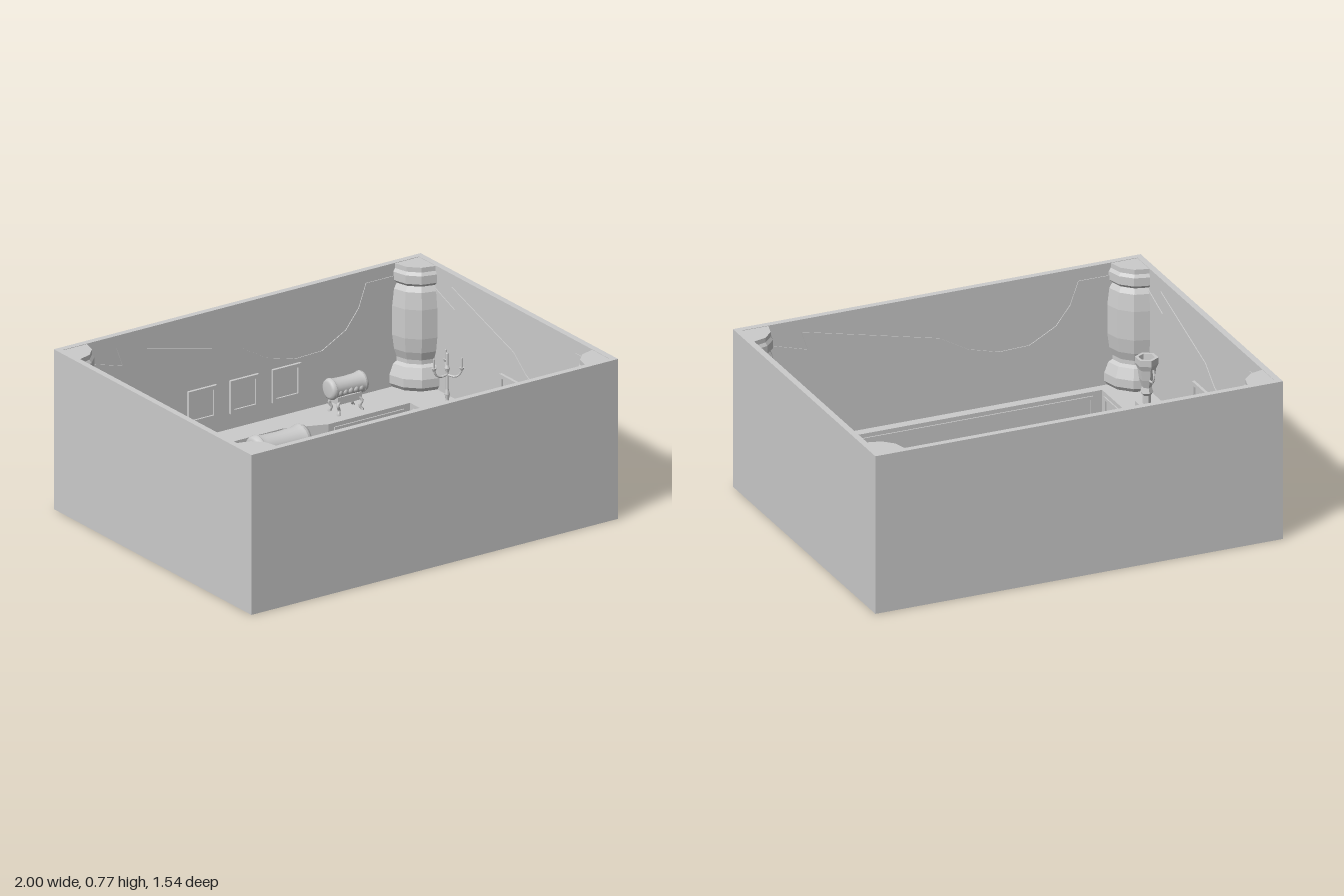
import * as THREE from 'three';

const grey = new THREE.MeshStandardMaterial({ color: 0xcccccc });
const flat = new THREE.MeshStandardMaterial({ color: 0xcccccc, flatShading: true });

const HX = 0.97, HZ = 0.74, TOP = 0.77; // inner half sizes and wall height
const DECK = 0.18, PIT = 0.01;          // raised floor and sunken floor levels

function add(parent, name, geo, x = 0, y = 0, z = 0, mat = flat) {
  const m = new THREE.Mesh(geo, mat);
  m.name = name;
  m.position.set(x, y, z);
  parent.add(m);
  return m;
}

function group(parent, name, x, y, z, rotY = 0) {
  const g = new THREE.Group();
  g.name = name;
  g.position.set(x, y, z);
  g.rotation.y = rotY;
  parent.add(g);
  return g;
}

const box = (w, h, d) => new THREE.BoxGeometry(w, h, d);
const cyl = (rt, rb, h, n) => new THREE.CylinderGeometry(rt, rb, h, n);
const lathe = (pts, n, ...arc) => new THREE.LatheGeometry(pts.map(p => new THREE.Vector2(...p)), n, ...arc);
const points = pts => pts.map(p => new THREE.Vector2(...p));
const rect = (w, h) => points([[-w, -h], [w, -h], [w, h], [-w, h]]);
const extrude = (shape, depth) => new THREE.ExtrudeGeometry(shape, { depth, bevelEnabled: false });

// Plan outline with a hole, raised upwards
function slab(outer, hole, height) {
  const shape = new THREE.Shape(outer);
  shape.holes.push(new THREE.Path(hole));
  return extrude(shape, height).rotateX(-Math.PI / 2);
}

// Open rectangular moulding standing on the xy plane, facing +z
function moulding(w, h, border, depth) {
  const shape = new THREE.Shape(rect(w / 2, h / 2));
  shape.holes.push(new THREE.Path(rect(w / 2 - border, h / 2 - border)));
  return extrude(shape, depth);
}

function picture(parent, w, h, x, y, z, rotY) {
  const g = group(parent, 'wallPicture', x, y, z, rotY);
  add(g, 'pictureFrame', moulding(w, h, 0.018, 0.018));
  add(g, 'pictureCanvas', box(w - 0.03, h - 0.03, 0.012), 0, 0, 0.003);
}

// Thin wall relief with a swagged upper edge
function drapery(parent, half, scale, x, z, rotY) {
  const right = [[0, 0.555], [0.14, 0.475], [0.29, 0.435], [0.44, 0.44], [0.57, 0.51], [0.64, 0.6], [0.68, 0.71]]
    .map(([u, v]) => [u * scale, v]);
  const left = right.slice(1).reverse().map(([u, v]) => [-u, v]);
  const shape = new THREE.Shape(points([[-half, DECK], [half, DECK], [half, 0.71],
    ...right.slice().reverse(), ...left, [-half, 0.71]]));
  add(group(parent, 'wallDrapery', x, 0, z, rotY), 'draperyRelief', extrude(shape, 0.004));
}

// Rolled bench on carved legs, scalloped along its front
function bench(parent, x, y, z, rotY, s) {
  const g = group(parent, 'bench', x, y, z, rotY);
  g.scale.setScalar(s);
  const roll = lathe([[0, -0.1], [0.034, -0.1], [0.045, -0.095], [0.05, -0.085], [0.049, -0.075], [0.045, -0.06],
    [0.043, 0], [0.045, 0.06], [0.049, 0.075], [0.05, 0.085], [0.045, 0.095], [0.034, 0.1], [0, 0.1]], 20);
  add(g, 'benchRoll', roll.rotateZ(Math.PI / 2), 0, 0.12, 0, grey);
  for (const sx of [-1, 1])
    add(g, 'endBand', new THREE.TorusGeometry(0.047, 0.004, 6, 20).rotateY(Math.PI / 2), sx * 0.08, 0.12, 0, grey);
  for (let i = -2; i <= 2; i++) {
    const bump = add(g, 'scallop', new THREE.SphereGeometry(0.015, 10, 6), i * 0.029, 0.108, 0.036, grey);
    bump.scale.set(1, 1.1, 0.9);
  }
  add(g, 'benchApron', box(0.13, 0.035, 0.065), 0, 0.066, 0);
  for (const sx of [-1, 1]) for (const sz of [-1, 1]) {
    const curve = new THREE.CatmullRomCurve3([[0.05, 0.065, 0.025], [0.066, 0.045, 0.035], [0.056, 0.02, 0.03], [0.064, 0.004, 0.036]]
      .map(([a, b, c]) => new THREE.Vector3(a * sx, b, c * sz)));
    add(g, 'benchLeg', new THREE.TubeGeometry(curve, 8, 0.007, 6), 0, 0, 0, grey);
    add(g, 'benchFoot', cyl(0.008, 0.01, 0.008, 6), 0.064 * sx, 0.004, 0.036 * sz);
  }
}

// Three-armed candle stand
function candleStand(parent, x, z, rotY) {
  const g = group(parent, 'candleStand', x, DECK, z, rotY);
  add(g, 'standBody', lathe([[0, 0], [0.036, 0], [0.036, 0.01], [0.014, 0.022], [0.008, 0.05], [0.012, 0.075],
    [0.007, 0.1], [0.007, 0.18], [0.013, 0.2], [0.006, 0.215], [0.006, 0.27], [0, 0.28]], 8));
  for (let i = 0; i < 3; i++) {
    const arm = group(g, 'candleArm', 0, 0, 0, i * Math.PI * 2 / 3);
    const curve = new THREE.QuadraticBezierCurve3(new THREE.Vector3(0, 0.17, 0),
      new THREE.Vector3(0.06, 0.15, 0), new THREE.Vector3(0.072, 0.205, 0));
    add(arm, 'armTube', new THREE.TubeGeometry(curve, 6, 0.005, 6));
    add(arm, 'candleCup', cyl(0.012, 0.006, 0.014, 8), 0.072, 0.208, 0);
    add(arm, 'candle', cyl(0.005, 0.005, 0.05, 6), 0.072, 0.235, 0);
  }
}

// Six-sided brazier with two side handles
function brazier(parent, x, z) {
  const g = group(parent, 'brazier', x, DECK, z);
  add(g, 'brazierBase', box(0.078, 0.04, 0.078), 0, 0.02, 0);
  add(g, 'brazierBowl', lathe([[0.02, 0.04], [0.018, 0.08], [0.03, 0.095], [0.022, 0.12], [0.035, 0.16], [0.042, 0.21],
    [0.053, 0.235], [0.053, 0.265], [0.038, 0.265], [0.032, 0.225], [0, 0.225]], 6));
  for (const s of [-1, 1]) {
    const curve = new THREE.CatmullRomCurve3([[0.03, 0.16], [0.065, 0.165], [0.08, 0.2], [0.07, 0.23]]
      .map(([d, h]) => new THREE.Vector3(0, h, d * s)));
    add(g, 'brazierHandle', new THREE.TubeGeometry(curve, 8, 0.005, 6));
  }
}

export function createModel() {
  const room = new THREE.Group();
  room.name = 'room';

  // Outer walls and floors
  add(room, 'outerWalls', slab(rect(1, 0.77), rect(HX, HZ), TOP));
  add(room, 'sunkenFloor', box(2 * HX, PIT, 2 * HZ), 0, PIT / 2, 0);
  const side = [[0.775, -0.69], [0.775, -0.23], [0.845, -0.115], [0.875, 0], [0.845, 0.115], [0.775, 0.23],
    [0.775, 0.53], [0.33, 0.53], [0.135, 0.605]];
  const pit = points([...side, ...side.slice().reverse().map(([x, y]) => [-x, y])]);
  add(room, 'raisedFloor', slab(rect(HX, HZ), pit, DECK));

  // Panel mouldings around the sunken floor: width, x, z, turn
  const panels = [[1.46, 0, 0.69, Math.PI], [0.22, 0, -0.605, 0]];
  for (const s of [-1, 1]) panels.push([0.38, s * 0.55, -0.53, 0],
    [0.25, s * 0.775, -0.38, -s * Math.PI / 2], [0.4, s * 0.775, 0.46, -s * Math.PI / 2]);
  for (const [w, x, z, r] of panels)
    add(room, 'pitPanel', moulding(w, 0.13, 0.015, 0.006), x, 0.095, z).rotation.y = r;

  // Quarter columns in the corners
  const column = [[0.15, DECK], [0.165, 0.2], [0.165, 0.24], [0.145, 0.29], [0.125, 0.3], [0.125, 0.32], [0.14, 0.36],
    [0.15, 0.43], [0.15, 0.57], [0.14, 0.65], [0.125, 0.675], [0.14, 0.69], [0.14, 0.73], [0.13, 0.745], [0.13, 0.768], [0, 0.768]];
  [[-1, -1], [-1, 1], [1, 1], [1, -1]].forEach(([sx, sz], i) =>
    add(room, 'cornerColumn', lathe(column, 3, i * Math.PI / 2, Math.PI / 2), sx * HX, 0, sz * HZ));

  // Wall reliefs and pictures
  drapery(room, HX, 1, 0, -HZ, 0);
  drapery(room, HX, 1, 0, HZ, Math.PI);
  for (const x of [-0.22, 0.01, 0.24]) picture(room, 0.155, 0.16, x, 0.335, -HZ, 0);
  for (const s of [-1, 1]) {
    drapery(room, HZ, 0.71, s * HX, 0, -s * Math.PI / 2);
    picture(room, 0.2, 0.17, s * HX, 0.34, 0.01, -s * Math.PI / 2);
  }

  // Furniture
  bench(room, 0, PIT, -0.445, 0, 1.45);
  for (const s of [-1, 1]) {
    bench(room, s * 0.67, PIT, 0, -s * Math.PI / 2, 1.45);
    bench(room, s * 0.49, DECK, -0.625, 0, 1);
    bench(room, s * 0.32, PIT, 0.34, 0, 1);
    candleStand(room, s * 0.865, -0.37, s > 0 ? Math.PI : 0);
    brazier(room, s * 0.86, 0.395);
  }
  return room;
}
